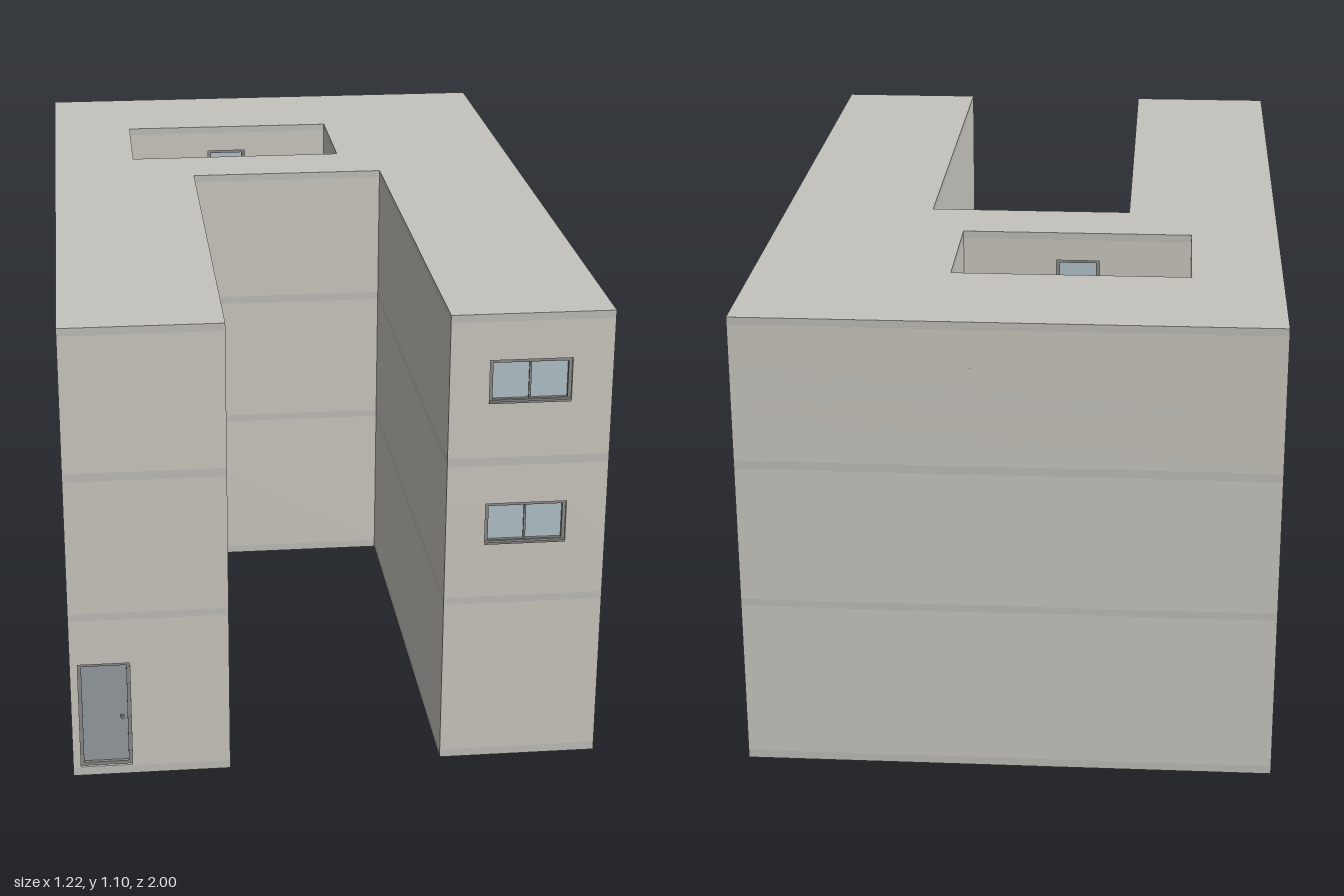
import * as THREE from 'three';
import { mergeVertices } from 'three/addons/utils/BufferGeometryUtils.js';

const DEPTH = 0.02; // niche depth of doors and windows
const mat = (color) => new THREE.MeshStandardMaterial({ color });

// Floor slabs that show as bands around the walls
const SLABS = [[0, 0.02], [0.398, 0.416], [0.74, 0.76], [1.082, 1.1]];

// Openings: wall they sit in, x range, y range, wall plane z, facing direction
const OPENINGS = [
  { name: 'frontDoor', wall: 'rightWing', x: [-0.594, -0.475], y: [0.022, 0.287], z: 1, face: 1, kind: 'door' },
  { name: 'lowerWindow', wall: 'leftWing', x: [0.335, 0.52], y: [0.547, 0.647], z: 1, face: 1, kind: 'double' },
  { name: 'upperWindow', wall: 'leftWing', x: [0.335, 0.52], y: [0.89, 0.992], z: 1, face: 1, kind: 'double' },
  { name: 'courtyardBackWindow', wall: 'courtBack', x: [-0.18, -0.075], y: [0.775, 1.03], z: -0.665, face: 1, kind: 'single' },
  { name: 'courtyardFrontWindow', wall: 'courtFront', x: [-0.18, -0.075], y: [0.775, 1.03], z: -0.345, face: -1, kind: 'single' },
];

// Plan of the building with niches for the openings crossing this height
function planAt(y) {
  const niche = (wall) => {
    const o = OPENINGS.find((p) => p.wall === wall && y > p.y[0] && y < p.y[1]);
    if (!o) return [];
    const [a, b] = o.x, inner = o.z - o.face * DEPTH;
    return [[a, o.z], [a, inner], [b, inner], [b, o.z]];
  };
  const toPoints = (list) => list.map(([x, z]) => new THREE.Vector2(x, -z));
  const shape = new THREE.Shape(toPoints([
    [-0.612, 1], ...niche('rightWing'), [-0.248, 1], [-0.248, -0.165],
    [0.245, -0.165], [0.245, 1], ...niche('leftWing'), [0.612, 1],
    [0.612, -1], [-0.612, -1],
  ]));
  shape.holes.push(new THREE.Path(toPoints([
    [-0.402, -0.345], ...niche('courtFront'), [0.152, -0.345],
    [0.152, -0.665], ...niche('courtBack').reverse(), [-0.402, -0.665],
  ])));
  return shape;
}

function box(parent, name, size, pos, material) {
  const m = new THREE.Mesh(new THREE.BoxGeometry(...size), material);
  m.name = name;
  m.position.set(...pos);
  parent.add(m);
}

// Frame and filling of one opening, facing +z, wall plane at z = 0
function makeOpening(o, mats) {
  const g = new THREE.Group();
  g.name = o.name;
  const w = o.x[1] - o.x[0], h = o.y[1] - o.y[0], t = 0.008, d = 0.014;
  const zf = -DEPTH + d / 2;
  for (const s of [-1, 1]) {
    box(g, 'frameSide', [t, h, d], [s * (w - t) / 2, 0, zf], mats.frame);
    box(g, 'frameRail', [w - 2 * t, t, d], [0, s * (h - t) / 2, zf], mats.frame);
  }
  const isDoor = o.kind === 'door';
  box(g, isDoor ? 'doorLeaf' : 'glass', [w - 2 * t, h - 2 * t, 0.006],
    [0, 0, -DEPTH + 0.003], isDoor ? mats.door : mats.glass);
  if (isDoor) {
    box(g, 'doorHandle', [0.008, 0.008, 0.008], [w / 2 - 0.02, -0.01, -0.01], mats.frame);
  } else {
    box(g, 'sill', [w, 0.005, DEPTH + 0.003], [0, -h / 2 + 0.0025, -DEPTH / 2 + 0.0015], mats.frame);
  }
  if (o.kind === 'double') box(g, 'mullion', [0.005, h - 2 * t, 0.01], [0, 0, -DEPTH + 0.005], mats.frame);
  g.position.set((o.x[0] + o.x[1]) / 2, (o.y[0] + o.y[1]) / 2, o.z);
  if (o.face < 0) g.rotation.y = Math.PI;
  return g;
}

export function createModel() {
  const root = new THREE.Group();
  root.name = 'building';
  const mats = {
    wall: mat(0xcfccc4), slab: mat(0xc4c3be), frame: mat(0x8c8c8a),
    glass: mat(0xb6c6ce), door: mat(0x989ea4),
  };

  // Walls and slabs stacked from level to level
  const levels = [...new Set([...SLABS.flat(), ...OPENINGS.flatMap((o) => o.y)])].sort((a, b) => a - b);
  for (let i = 0; i < levels.length - 1; i++) {
    const y0 = levels[i], y1 = levels[i + 1], mid = (y0 + y1) / 2;
    const isSlab = SLABS.some(([a, b]) => mid > a && mid < b);
    const geo = new THREE.ExtrudeGeometry(planAt(mid), { depth: y1 - y0, bevelEnabled: false });
    geo.rotateX(-Math.PI / 2);
    const m = new THREE.Mesh(mergeVertices(geo), isSlab ? mats.slab : mats.wall);
    m.name = isSlab ? 'floorSlab' : 'wallCourse';
    m.position.y = y0;
    root.add(m);
  }

  // Doors and windows
  for (const o of OPENINGS) root.add(makeOpening(o, mats));
  return root;
}
